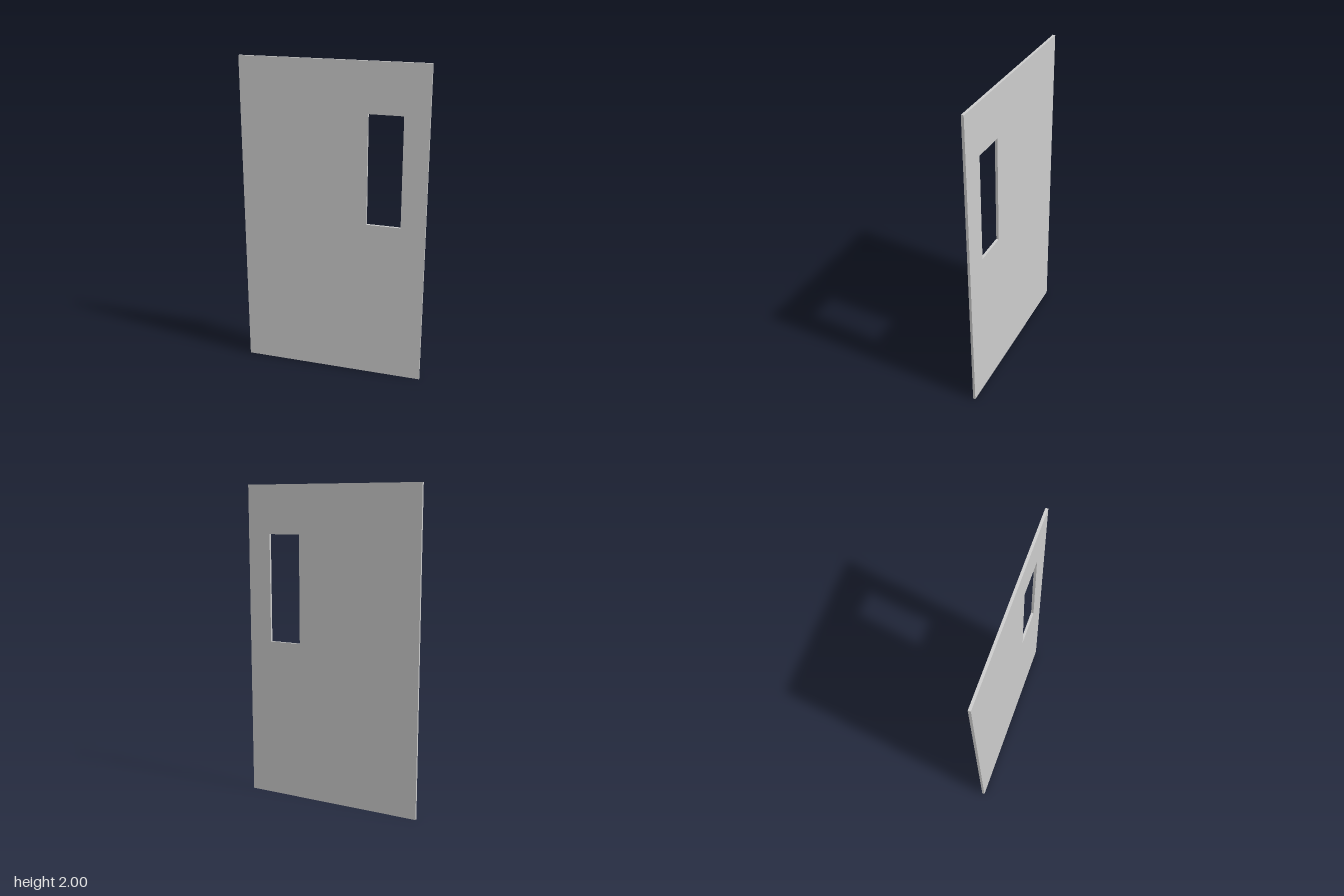
import * as THREE from 'three';

const WIDTH = 1.162, HEIGHT = 2, THICKNESS = 0.016;
const WINDOW = { left: 0.217, right: 0.429, bottom: 1.016, top: 1.696 };

// Traces a closed rectangle on a Shape or Path
function rectangle(path, x0, y0, x1, y1) {
  path.moveTo(x0, y0);
  path.lineTo(x1, y0);
  path.lineTo(x1, y1);
  path.lineTo(x0, y1);
  path.closePath();
  return path;
}

export function createModel() {
  const group = new THREE.Group();
  group.name = 'door';

  // Thin door leaf with a tall window opening
  const outline = rectangle(new THREE.Shape(), -WIDTH / 2, 0, WIDTH / 2, HEIGHT);
  outline.holes.push(rectangle(new THREE.Path(), WINDOW.left, WINDOW.bottom, WINDOW.right, WINDOW.top));

  const geometry = new THREE.ExtrudeGeometry(outline, { depth: THICKNESS, bevelEnabled: false });
  geometry.translate(0, 0, -THICKNESS / 2);

  const leaf = new THREE.Mesh(geometry, new THREE.MeshStandardMaterial({ color: 0xcccccc }));
  leaf.name = 'doorLeaf';
  group.add(leaf);
  return group;
}
